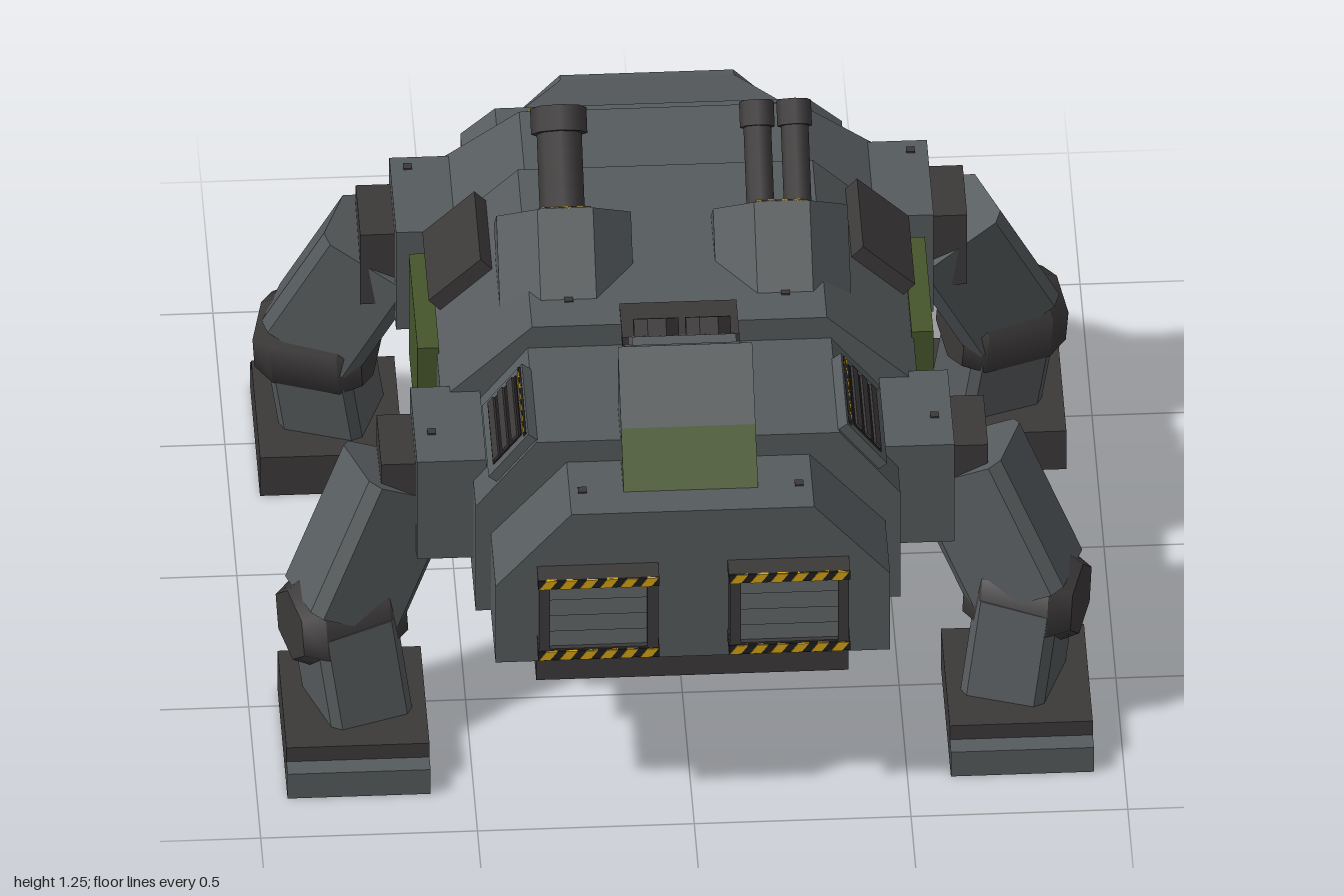
import * as THREE from 'three';
import { ConvexGeometry } from 'three/addons/geometries/ConvexGeometry.js';

const mat = (name, color) => {
  const m = new THREE.MeshStandardMaterial({ color });
  m.name = name;
  return m;
};

export function createModel() {
  const armour = mat('grey armour', 0x565b5d);
  const dark = mat('dark metal', 0x3c3939);
  const olive = mat('olive panel', 0x46562c);
  const yellow = mat('warning yellow', 0xd6a315);
  const black = mat('black', 0x1f1f20);
  const blue = mat('blue glass', 0x3a78ad);
  const root = new THREE.Group();
  root.name = 'walker';

  const V = (x, y, z) => new THREE.Vector3(x, y, z);
  const add = (name, geo, material, parent = root) => {
    const m = new THREE.Mesh(geo, material);
    m.name = name;
    parent.add(m);
    return m;
  };
  const box = (name, w, h, d, x, y, z, material, parent) => {
    const m = add(name, new THREE.BoxGeometry(w, h, d), material, parent);
    m.position.set(x, y, z);
    return m;
  };
  const group = (name, x, y, z, parent = root) => {
    const g = new THREE.Group();
    g.name = name;
    g.position.set(x, y, z);
    parent.add(g);
    return g;
  };
  // symmetric hull between two half cross-sections
  const hull = (name, half0, z0, z1, material = armour, half1 = half0) => {
    const pts = [];
    for (const s of [-1, 1]) {
      half0.forEach(([x, y]) => pts.push(V(s * x, y, z0)));
      half1.forEach(([x, y]) => pts.push(V(s * x, y, z1)));
    }
    return add(name, new ConvexGeometry(pts), material);
  };
  // octagonal ring lying in xy, extruded back from z = 0
  const ring = (R, r, depth) => {
    const oct = q => Array.from({ length: 8 }, (_, i) => {
      const a = (i + 0.5) * Math.PI / 4;
      return new THREE.Vector2(q * Math.cos(a), q * Math.sin(a));
    });
    const s = new THREE.Shape(oct(R));
    s.holes.push(new THREE.Path(oct(r).reverse()));
    return new THREE.ExtrudeGeometry(s, { depth, bevelEnabled: false }).translate(0, 0, -depth);
  };
  // black strip with slanted yellow bars, facing local +z
  const hazard = (parent, w, h, n, x, y, z, ry = 0) => {
    const g = group('hazardStrip', x, y, z, parent);
    g.rotation.y = ry;
    box('stripBase', w, h, 0.006, 0, 0, 0, black, g);
    const p = w / n, k = h * 0.35;
    for (let i = 0; i < n; i++) {
      const c = -w / 2 + p * (i + 0.5), q = p * 0.27;
      const s = new THREE.Shape([[-q - k, -h / 2], [q - k, -h / 2], [q + k, h / 2], [-q + k, h / 2]]
        .map(([a, b]) => new THREE.Vector2(Math.max(-w / 2, Math.min(w / 2, c + a)), b)));
      add('yellowBar', new THREE.ExtrudeGeometry(s, { depth: 0.008, bevelEnabled: false }).translate(0, 0, -0.003), yellow, g);
    }
  };

  // body sections
  hull('frontHull', [[0.455, 0.44], [0.455, 0.66], [0.28, 0.86]], 0.94, 0.7);
  hull('shoulderHull', [[0.49, 0.44], [0.49, 0.74], [0.35, 0.92]], 0.74, 0.36);
  hull('mainHull', [[0.55, 0.44], [0.55, 0.78], [0.34, 0.98]], 0.38, -0.22);
  hull('rearHull', [[0.54, 0.44], [0.54, 0.76], [0.32, 0.915]], -0.2, -0.525);
  hull('cabHull', [[0.44, 0.44], [0.44, 0.64], [0.36, 0.71]], -0.5, -0.81);
  hull('cabNose', [[0.365, 0.44], [0.365, 0.64], [0.3, 0.71]], -0.8, -0.975, armour,
    [[0.29, 0.525], [0.29, 0.58], [0.2, 0.66]]);
  hull('cabBrow', [[0.29, 0.525], [0.29, 0.58], [0.2, 0.66]], -0.975, -1.0, armour,
    [[0.2, 0.58], [0.2, 0.655]]);
  box('keel', 0.72, 0.09, 1.72, 0, 0.415, 0.06, dark);
  box('chin', 0.46, 0.14, 0.2, 0, 0.47, -0.855, dark);
  box('chinFrame', 0.32, 0.1, 0.008, 0, 0.48, -0.956, black);
  box('rearWindow', 0.25, 0.06, 0.008, 0, 0.48, -0.96, blue);
  for (const s of [-1, 1]) box('chinLamp', 0.05, 0.05, 0.02, s * 0.195, 0.48, -0.955, armour);

  // central sensor hood
  const hoodProfile = (a, b) => [[0.155, a], [0.155, b]];
  hull('hoodFrontLower', hoodProfile(0.8, 0.86), 0.86, 0.75, olive, hoodProfile(0.8, 0.96));
  hull('hoodFrontUpper', hoodProfile(0.8, 0.96), 0.75, 0.61, armour, hoodProfile(0.8, 1.09));
  hull('hoodRear', [[0.135, 0.8], [0.135, 1.09]], 0.61, 0.42, armour, [[0.135, 0.8], [0.135, 0.95]]);
  box('hoodDeck', 0.27, 0.03, 0.13, 0, 0.972, 0.375, dark);
  const sensors = group('sensorPair', 0, 1.02, 0.505);
  sensors.rotation.x = -0.64;
  box('sensorPlate', 0.24, 0.02, 0.19, 0, 0.005, 0, armour, sensors);
  for (const s of [-1, 1]) {
    const rim = add('sensorRim', ring(0.056, 0.038, 0.05), dark, sensors);
    rim.rotation.x = -Math.PI / 2;
    rim.position.set(s * 0.06, 0.055, 0);
    const lens = add('sensorLens', new THREE.CylinderGeometry(0.039, 0.039, 0.03, 8), black, sensors);
    lens.position.set(s * 0.06, 0.025, 0);
  }

  // tilted prism with chamfered corners from p0 to p1
  const beam = (name, p0, p1, t, W, D, c, material, parent, k = 1) => {
    const w = p1.clone().sub(p0).cross(t).normalize(), pts = [];
    [[p0, 1], [p1, k]].forEach(([p, f]) => {
      for (const i of [-1, 1]) for (const j of [-1, 1]) for (const [a, b] of [[W - c, D], [W, D - c]])
        pts.push(p.clone().addScaledVector(w, i * a * f).addScaledVector(t, j * b * f));
    });
    return add(name, new ConvexGeometry(pts), material, parent);
  };

  // legs
  for (const sx of [-1, 1]) for (const sz of [-1, 1]) {
    const front = sz > 0;
    const leg = group((front ? 'front' : 'rear') + (sx > 0 ? 'LeftLeg' : 'RightLeg'), 0, 0, 0);
    const mz = front ? 0.5 : -0.375, kz = front ? 0.59 : -0.45;
    box('hipMount', 0.16, 0.28, 0.285, sx * 0.54, 0.66, mz, armour, leg);
    box('hipJoint', 0.1, 0.2, 0.19, sx * 0.65, 0.66, mz, dark, leg);
    const out = V(sx * 0.94, 0, sz * 0.34).normalize();
    const t = V(-out.z, 0, out.x);
    beam('upperLeg', V(sx * 0.65, 0.665, mz), V(sx * 0.79, 0.36, kz), t, 0.125, 0.1, 0.025, armour, leg);
    beam('lowerLeg', V(sx * 0.79, 0.35, kz), V(sx * 0.755, 0.1, kz + sz * 0.03), t, 0.1, 0.105, 0.02, armour, leg);
    // hexagonal knee with tapered caps
    const knee = group('knee', sx * 0.79, 0.335, kz, leg);
    knee.quaternion.setFromUnitVectors(V(0, 1, 0), out);
    add('kneeCore', new THREE.CylinderGeometry(0.12, 0.12, 0.16, 6), dark, knee);
    for (const s of [-1, 1]) {
      const cap = add('kneeCap', new THREE.CylinderGeometry(s > 0 ? 0.09 : 0.12, s > 0 ? 0.12 : 0.09, 0.05, 6), dark, knee);
      cap.position.y = s * 0.105;
    }
    const fz = front ? 0.62 : -0.485;
    box('foot', 0.33, 0.11, 0.37, sx * 0.765, 0.055, fz, dark, leg);
    box('toe', 0.33, 0.07, 0.05, sx * 0.765, 0.035, fz + sz * 0.208, armour, leg);
  }

  // paired details
  for (const s of [-1, 1]) {
    box('sidePanel', 0.05, 0.28, 0.36, s * 0.57, 0.66, 0.03, olive);

    // front grille
    const grille = group('frontGrille', s * 0.22, 0.6, 0.94);
    box('grilleBack', 0.25, 0.19, 0.03, 0, 0, 0.005, black, grille);
    for (const e of [-1, 1]) {
      box('grilleSide', 0.025, 0.22, 0.06, e * 0.125, 0, 0.025, dark, grille);
      box('grilleRail', 0.28, 0.028, 0.055, 0, e * 0.1, 0.025, dark, grille);
      hazard(grille, 0.28, 0.024, 6, 0, e * 0.102, 0.055);
    }
    for (let i = 0; i < 4; i++) {
      const slat = box('grilleSlat', 0.225, 0.046, 0.012, 0, -0.068 + i * 0.045, 0.03, armour, grille);
      slat.rotation.x = -0.25;
    }

    // louvred vent on the shoulder slope
    const vent = group('shoulderVent', s * 0.402, 0.868, 0.595);
    vent.rotation.z = -s * 0.913;
    box('ventFrame', 0.15, 0.03, 0.27, 0, 0, 0, armour, vent);
    box('ventRecess', 0.105, 0.006, 0.225, 0, 0.015, 0, black, vent);
    for (let i = 0; i < 3; i++) box('ventSlat', 0.02, 0.012, 0.22, -0.035 + i * 0.035, 0.018, 0, dark, vent);
    hazard(root, 0.25, 0.02, 6, s * 0.375, 0.925, 0.595, s * Math.PI / 2);

    // dark hatch on the main slope
    const hatch = box('sideHatch', 0.165, 0.05, 0.26, s * 0.484, 0.862, -0.07, dark);
    hatch.rotation.z = -s * 0.76;

    // rear exhaust ring
    const port = group('rearPort', s * 0.25, 0.785, -0.525);
    port.rotation.y = Math.PI;
    add('portRing', ring(0.125, 0.098, 0.06), armour, port).position.z = 0.02;
    const disc = add('portDisc', new THREE.CylinderGeometry(0.1, 0.1, 0.006, 8), black, port);
    disc.rotation.x = Math.PI / 2;
    disc.position.z = 0.003;
    hazard(port, 0.1, 0.022, 4, 0, 0.104, 0.02);

    // tilted gun turret
    const turret = group(s > 0 ? 'twinTurret' : 'heavyTurret', s * 0.25, 1.02, 0.02);
    turret.rotation.x = -Math.PI * 0.75;
    add('turretShell', ring(0.168, 0.132, 0.3), armour, turret);
    const floor = add('turretFloor', new THREE.CylinderGeometry(0.135, 0.135, 0.02, 8), dark, turret);
    floor.rotation.x = Math.PI / 2;
    floor.position.z = -0.1;
    hazard(turret, 0.12, 0.028, 4, 0, -0.139, 0.001);
    for (const [x, r] of s > 0 ? [[-0.043, 0.032], [0.043, 0.032]] : [[0, 0.052]]) {
      const barrel = add('barrel', new THREE.CylinderGeometry(r, r, 0.34, 8), dark, turret);
      barrel.rotation.x = Math.PI / 2;
      barrel.position.set(x, 0, 0.07);
      const muzzle = add('muzzle', new THREE.CylinderGeometry(r * 1.25, r * 1.25, 0.06, 8), dark, turret);
      muzzle.rotation.x = Math.PI / 2;
      muzzle.position.set(x, 0, 0.225);
    }

    // bolts along the deck and sides
    for (const [x, y, z] of [[0.25, 0.86, 0.85], [0.25, 0.98, 0.28], [0.25, 0.915, -0.48], [0.58, 0.8, 0.53], [0.58, 0.8, -0.48]])
      box('bolt', 0.02, 0.008, 0.02, s * x, y, z, dark);
  }
  return root;
}
